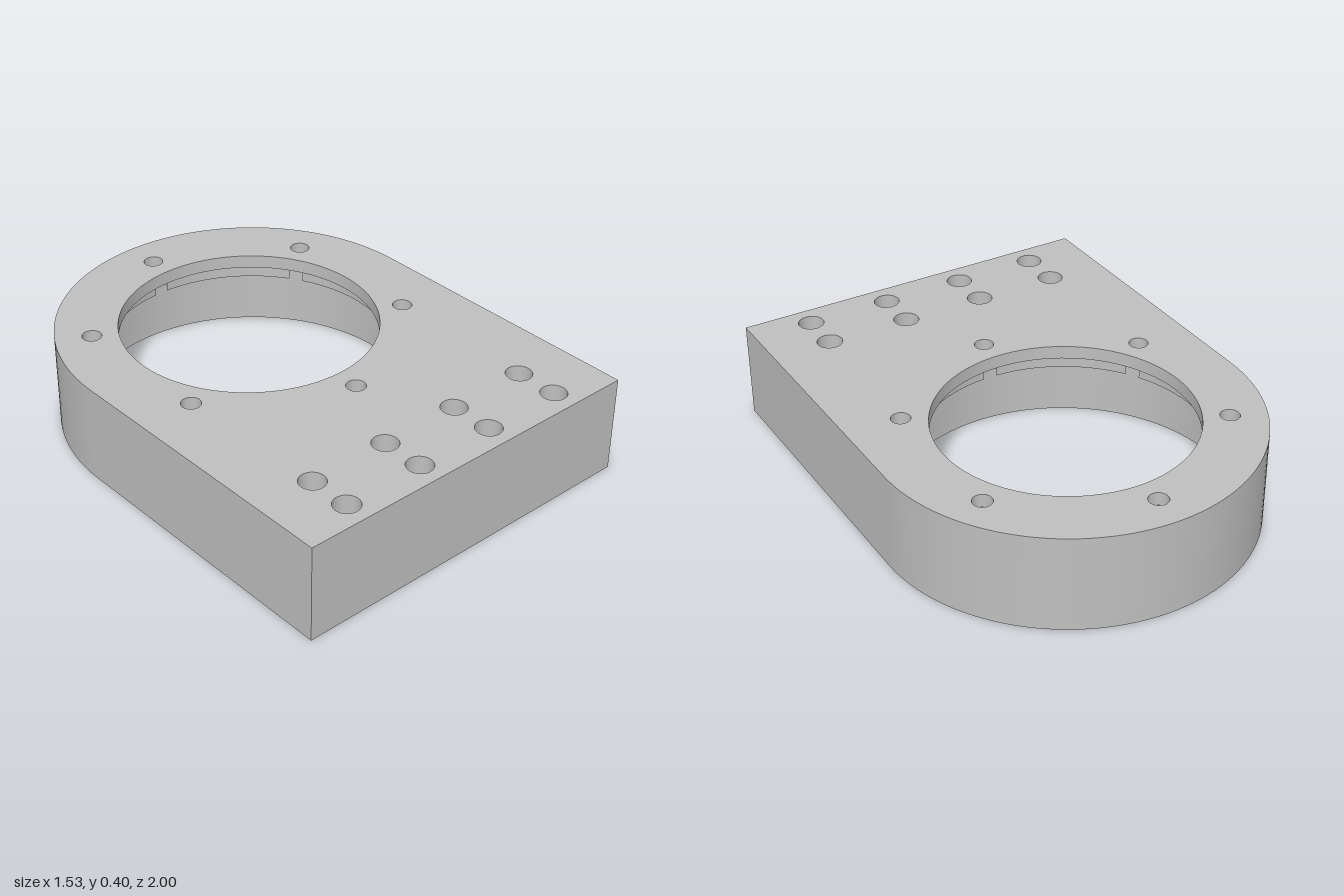
import * as THREE from 'three';
import { toCreasedNormals } from 'three/addons/utils/BufferGeometryUtils.js';

// Heights of the steps inside the bore, from the underside to the top
const LEDGE = 0.27, CEILING = 0.345, TOP = 0.4;
// Plan coordinates are (x, -z); CY is the bore centre
const CY = 0.235, BOLT_R = 0.62;

// Counter-clockwise arc points, without the end point
function arc(cx, cy, r, a0, a1, n) {
  return Array.from({ length: n }, (_, i) => {
    const a = a0 + (a1 - a0) * i / n;
    return new THREE.Vector2(cx + r * Math.cos(a), cy + r * Math.sin(a));
  });
}
const circle = (cx, cy, r, n) => arc(cx, cy, r, 0, Math.PI * 2, n);

// Ring opening with a round screw-head notch at each bolt
function notchedRing(R, r) {
  const a = Math.acos((R * R + BOLT_R * BOLT_R - r * r) / (2 * R * BOLT_R));
  const b = Math.atan2(R * Math.sin(a), R * Math.cos(a) - BOLT_R);
  const pts = [];
  for (let k = 0; k < 6; k++) {
    const t = Math.PI / 6 + k * Math.PI / 3;
    pts.push(...arc(BOLT_R * Math.cos(t), CY + BOLT_R * Math.sin(t), r, t - b, t + b, 18));
    pts.push(...arc(0, CY, R, t + a, t + Math.PI / 3 - a, 14));
  }
  return pts;
}

// Vertical wall along a closed counter-clockwise loop
function wall(loop, y0, y1, inward) {
  const pos = [];
  loop.forEach((p, i) => {
    const q = loop[(i + 1) % loop.length];
    const [a, b] = inward ? [q, p] : [p, q];
    pos.push(a.x, y0, -a.y, b.x, y0, -b.y, b.x, y1, -b.y);
    pos.push(a.x, y0, -a.y, b.x, y1, -b.y, a.x, y1, -a.y);
  });
  const g = new THREE.BufferGeometry();
  g.setAttribute('position', new THREE.Float32BufferAttribute(pos, 3));
  return toCreasedNormals(g, 0.6);
}

// Flat face with holes, facing up or down
function face(loop, holes, y, up) {
  const shape = new THREE.Shape(loop);
  shape.holes = holes.map(h => new THREE.Path(h));
  const g = new THREE.ShapeGeometry(shape).rotateX(-Math.PI / 2).translate(0, y, 0);
  if (!up) {
    g.index.array.reverse();
    g.computeVertexNormals();
  }
  return g;
}

export function createModel() {
  const group = new THREE.Group();
  group.name = 'bearingMount';
  const grey = new THREE.MeshStandardMaterial({ color: 0xbfbfbf });
  grey.name = 'plain grey';
  const add = (name, geometry) => {
    const mesh = new THREE.Mesh(geometry, grey);
    mesh.name = name;
    group.add(mesh);
  };

  // Plan outlines
  const outline = [
    new THREE.Vector2(-0.765, -1), new THREE.Vector2(0.765, -1),
    ...arc(0, CY, 0.765, 0, Math.PI, 64), new THREE.Vector2(-0.765, CY),
  ];
  const bore = circle(0, CY, 0.683, 96);
  const ring = notchedRing(0.573, 0.056);
  const lip = circle(0, CY, 0.515, 96);
  const screwHoles = [], mountHoles = [];
  for (let k = 0; k < 6; k++) {
    const t = Math.PI / 6 + k * Math.PI / 3;
    screwHoles.push(circle(BOLT_R * Math.cos(t), CY + BOLT_R * Math.sin(t), 0.039, 28));
  }
  for (const x of [-0.519, -0.173, 0.173, 0.519])
    for (const z of [0.725, 0.9]) mountHoles.push(circle(x, -z, 0.052, 28));

  // Block
  add('outerWall', wall(outline, 0, TOP, false));
  add('topFace', face(outline, [lip, ...screwHoles, ...mountHoles], TOP, true));
  add('bottomFace', face(outline, [bore, ...mountHoles], 0, false));

  // Stepped bore
  add('boreWall', wall(bore, 0, LEDGE, true));
  add('boreLedge', face(bore, [ring], LEDGE, false));
  add('notchedRingWall', wall(ring, LEDGE, CEILING, true));
  add('lipUnderside', face(ring, [lip, ...screwHoles], CEILING, false));
  add('lipWall', wall(lip, CEILING, TOP, true));

  // Holes
  screwHoles.forEach(h => add('screwHole', wall(h, CEILING, TOP, true)));
  mountHoles.forEach(h => add('mountingHole', wall(h, 0, TOP, true)));
  return group;
}
